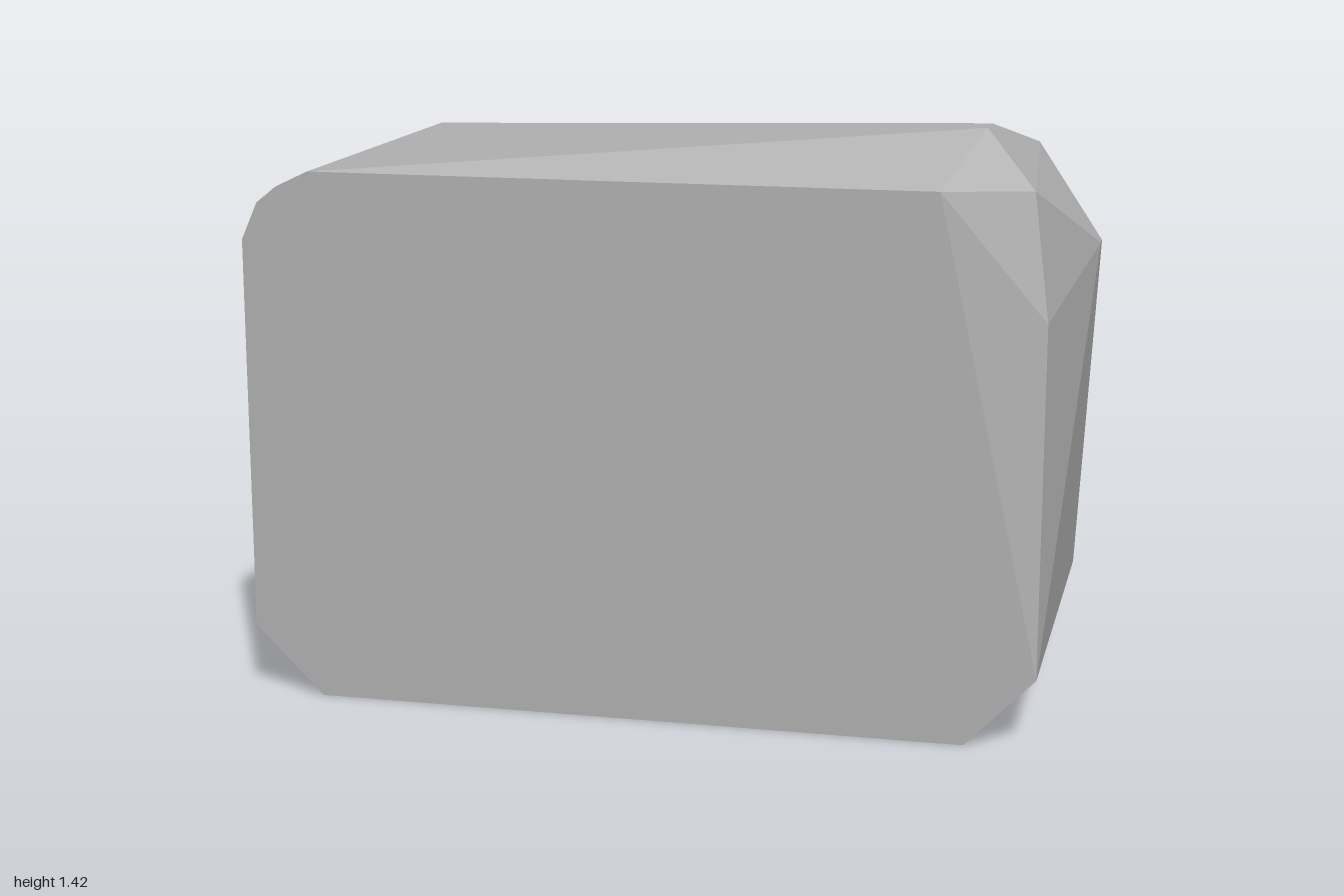
import * as THREE from 'three';
import { ConvexGeometry } from 'three/addons/geometries/ConvexGeometry.js';

export function createModel() {
  const group = new THREE.Group();
  group.name = 'stoneBlock';
  const stone = new THREE.MeshStandardMaterial({ color: 0xb0b0b0, flatShading: true });
  stone.name = 'grey stone';

  const points = [];
  const add = (x, y, z) => points.push(new THREE.Vector3(x, y, z));

  // Chamfered outline shared by the two flat ends
  const outline = [
    [-0.83, 0], [-1, 0.17], [-1, 1.13], [-0.96, 1.22], [-0.91, 1.26],
    [-0.83, 1.298], [0.67, 1.298], [0.915, 0.17], [0.75, 0],
  ];
  for (const z of [0.5, -0.5]) outline.forEach(([x, y]) => add(x, y, z));

  // Back upper chamfer
  add(0.915, 1.01, -0.5);

  // Chipped front corner
  add(0.875, 1.295, 0.425);
  add(0.915, 1.0, 0.463);

  // Raised crest
  add(0.75, 1.42, 0.3);
  add(0.75, 1.42, 0.21);
  add(0.75, 1.376, -0.05);
  add(0.83, 1.34, -0.12);

  // Bulge on the side
  add(1, 1.13, 0.09);
  add(1, 1.13, 0.05);

  const block = new THREE.Mesh(new ConvexGeometry(points), stone);
  block.name = 'block';
  group.add(block);
  return group;
}
